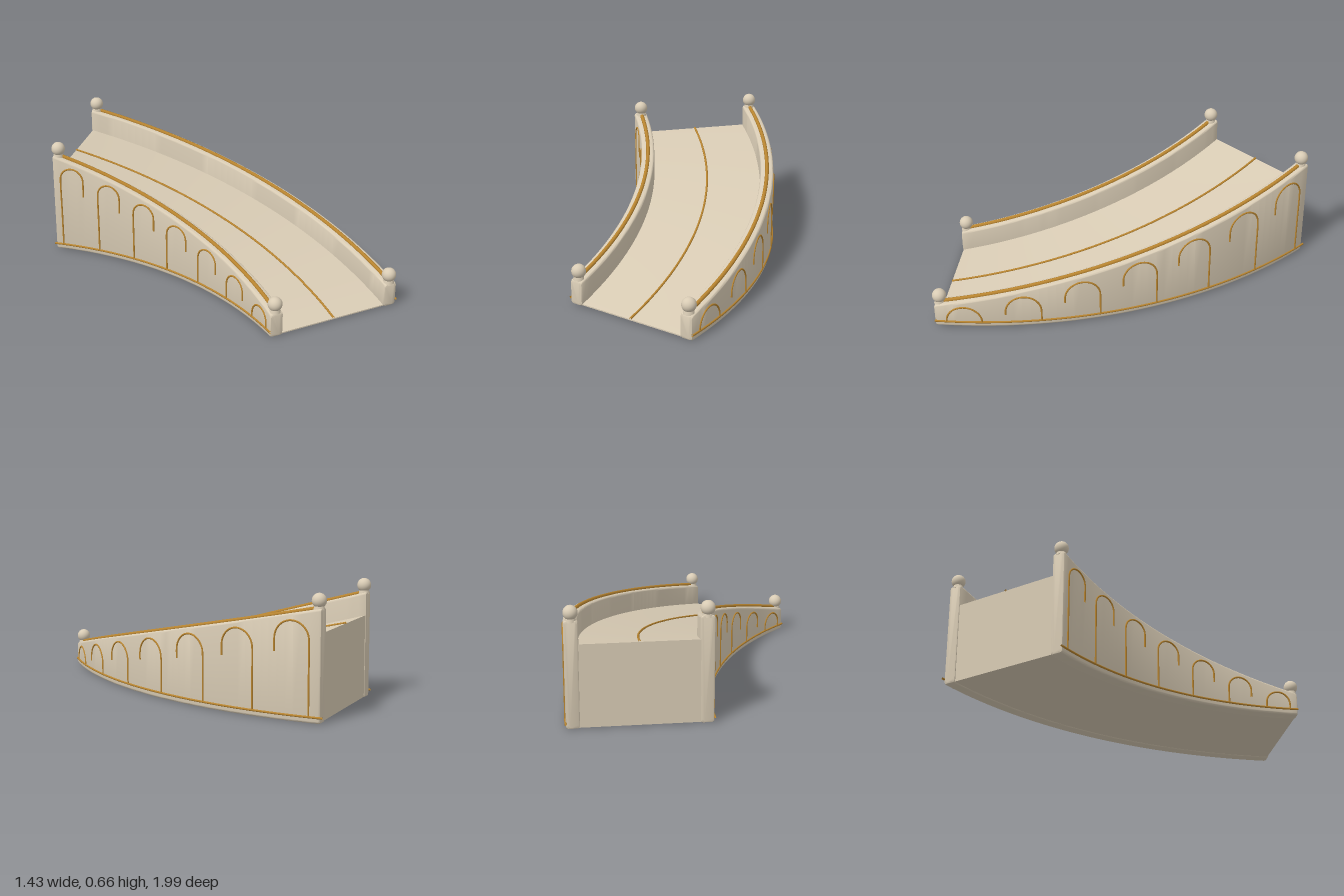
import * as THREE from 'three';
import { toCreasedNormals } from 'three/addons/utils/BufferGeometryUtils.js';

// Curve layout: everything is placed by radius, angle and height about one centre
const CX = -1.875, CZ = 0.983, SWEEP = 0.87;
const INNER = 1.85, OUTER = 2.54, HALF = 0.037;
const BAYS = 7;

const place = (r, a, y) => new THREE.Vector3(CX + r * Math.cos(a), y, CZ - r * Math.sin(a));
const wallTop = (a) => 0.132 + 0.452 * (a / SWEEP);
const floorTop = (a) => 0.01 + 0.448 * (a / SWEEP);

// Solid swept round the centre; section(a, i) gives [r, y] corners counter-clockwise
function sweep(angles, section) {
  const pos = [], idx = [];
  let n = 0;
  angles.forEach((a, i) => {
    const pts = section(a, i);
    n = pts.length;
    pts.forEach(([r, y]) => pos.push(...place(r, a, y).toArray()));
  });
  const last = (angles.length - 1) * n;
  for (let i = 0; i < last; i += n) {
    for (let j = 0; j < n; j++) {
      const k = (j + 1) % n;
      idx.push(i + j, i + n + k, i + k, i + j, i + n + j, i + n + k);
    }
  }
  for (let j = 1; j < n - 1; j++) idx.push(0, j, j + 1, last, last + j + 1, last + j);
  const g = new THREE.BufferGeometry();
  g.setAttribute('position', new THREE.Float32BufferAttribute(pos, 3));
  g.setIndex(idx);
  return toCreasedNormals(g, 0.6);
}

// Rounded rectangle in [r, y]
function roundedSection(r0, r1, y0, y1, rad) {
  const corners = [[r1 - rad, y0 + rad, -1], [r1 - rad, y1 - rad, 0], [r0 + rad, y1 - rad, 1], [r0 + rad, y0 + rad, 2]];
  const pts = [];
  for (const [r, y, q] of corners) {
    for (let s = 0; s <= 4; s++) {
      const t = (q + s / 4) * Math.PI / 2;
      pts.push([r + rad * Math.cos(t), y + rad * Math.sin(t)]);
    }
  }
  return pts;
}

function tube(points, radius, segments) {
  return new THREE.TubeGeometry(new THREE.CatmullRomCurve3(points), segments, radius, 8);
}

// Tube following the bend at a constant radius
function bentTube(r, height, radius, a0 = 0, a1 = SWEEP) {
  const pts = [];
  for (let i = 0; i <= 24; i++) {
    const a = a0 + (a1 - a0) * i / 24;
    pts.push(place(r, a, height(a)));
  }
  return tube(pts, radius, 72);
}

export function createModel() {
  const model = new THREE.Group();
  const stone = new THREE.MeshStandardMaterial({ color: 0xd8cbb4 });
  stone.name = 'stone';
  const gold = new THREE.MeshStandardMaterial({ color: 0xb98530, side: THREE.DoubleSide });
  gold.name = 'gold';
  const add = (name, geometry, material, parent = model) => {
    const mesh = new THREE.Mesh(geometry, material);
    mesh.name = name;
    parent.add(mesh);
    return mesh;
  };

  // Solid ramp between the walls
  const rampAngles = Array.from({ length: 49 }, (_, i) => 0.003 + (SWEEP - 0.006) * i / 48);
  add('ramp', sweep(rampAngles, (a) => [
    [INNER, 0.005], [OUTER, 0.005], [OUTER, floorTop(a)], [INNER, floorTop(a)],
  ]), stone);
  add('rampCentreLine', bentTube(2.195, (a) => floorTop(a) + 0.003, 0.006, 0.003, SWEEP - 0.003), gold);

  // Wall rings: the end rings are drawn in to round off the ends
  const wallAngles = [0, 0.0015, 0.005];
  for (let i = 1; i < 48; i++) wallAngles.push(0.005 + (SWEEP - 0.01) * i / 48);
  wallAngles.push(SWEEP - 0.005, SWEEP - 0.0015, SWEEP);
  const inset = (i) => {
    const e = Math.min(i, wallAngles.length - 1 - i);
    return e === 0 ? 0.01 : e === 1 ? 0.003 : 0;
  };

  for (const [side, rc, out] of [['inner', INNER, -1], ['outer', OUTER, 1]]) {
    const wall = new THREE.Group();
    wall.name = side + 'Balustrade';
    model.add(wall);
    add('wall', sweep(wallAngles, (a, i) => {
      const d = inset(i);
      return roundedSection(rc - HALF + d, rc + HALF - d, d, wallTop(a) - d, 0.013);
    }), stone, wall);
    add('topRail', bentTube(rc, (a) => wallTop(a) + 0.003, 0.011, 0.004, SWEEP - 0.004), gold, wall);

    const face = rc + out * (HALF + 0.001);
    add('baseTrim', bentTube(face, () => 0.033, 0.006, 0, SWEEP + 0.004), gold, wall);

    // Blind arches: one long leg on the high side, one short on the low side
    const bay = SWEEP / BAYS, half = bay * 0.3, rise = half * face;
    for (let i = 0; i < BAYS; i++) {
      const mid = (i + 0.5) * bay;
      const top = wallTop(mid) - 0.035;
      const spring = Math.max(top - rise, 0.035);
      const low = Math.min(0.03 + 0.054 * i, spring - 0.004);
      const pts = [place(face, mid - half, low)];
      if (spring - low > 0.03) pts.push(place(face, mid - half, (spring + low) / 2));
      for (let s = 0; s <= 12; s++) {
        const t = Math.PI * (1 - s / 12);
        pts.push(place(face, mid + half * Math.cos(t), spring + (top - spring) * Math.sin(t)));
      }
      if (spring > 0.07) pts.push(place(face, mid + half, (spring + 0.033) / 2));
      pts.push(place(face, mid + half, 0.03));
      add('arch', tube(pts, 0.005, 64), gold, wall);
    }

    // Ball finials at both ends
    for (const a of [0.026 / rc, SWEEP - 0.026 / rc]) {
      const finial = new THREE.Group();
      finial.name = 'finial';
      finial.position.copy(place(rc, a, wallTop(a)));
      wall.add(finial);
      add('collar', new THREE.CylinderGeometry(0.024, 0.03, 0.024, 24), stone, finial).position.y = 0.006;
      add('ball', new THREE.SphereGeometry(0.038, 32, 20), stone, finial).position.y = 0.041;
    }
  }
  return model;
}
